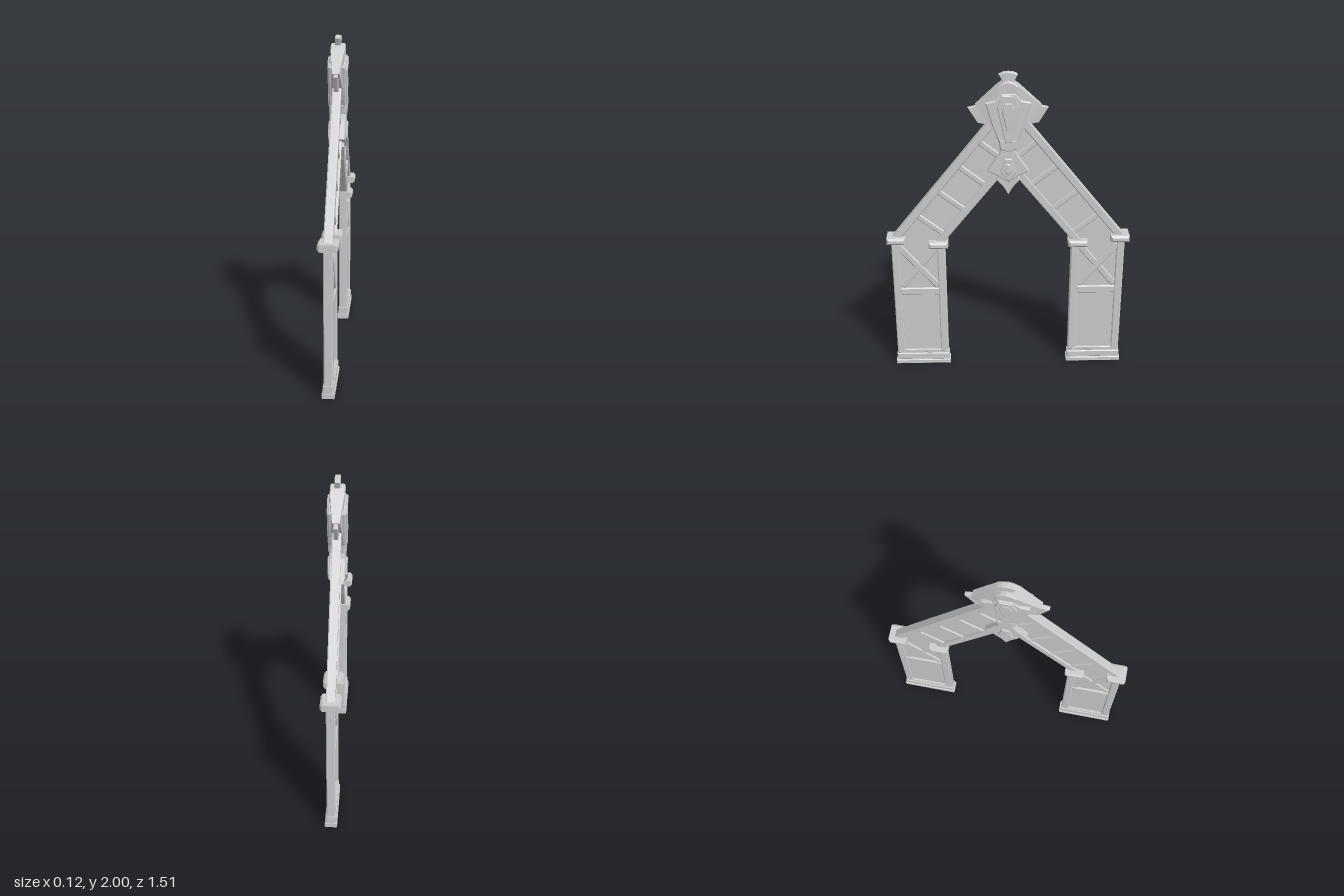
import * as THREE from 'three';

const material = new THREE.MeshStandardMaterial({ color: 0xcccccc, flatShading: true });

// Plate drawn in the (z, y) plane, extruded along x to +-half with chamfered edges
function plate(parent, name, pts, half, bevel = 0.006, holePts = null) {
  const shape = new THREE.Shape(pts.map(([z, y]) => new THREE.Vector2(z, y)));
  if (holePts) shape.holes.push(new THREE.Path(holePts.map(([z, y]) => new THREE.Vector2(z, y))));
  const depth = 2 * (half - bevel);
  const geo = new THREE.ExtrudeGeometry(shape, {
    depth, bevelEnabled: bevel > 0, bevelSize: bevel, bevelThickness: bevel,
    bevelOffset: -bevel, bevelSegments: 1,
  });
  geo.translate(0, 0, -depth / 2).rotateY(-Math.PI / 2);
  const mesh = new THREE.Mesh(geo, material);
  mesh.name = name;
  parent.add(mesh);
  return mesh;
}

const rect = (z0, z1, y0, y1) => [[z0, y0], [z1, y0], [z1, y1], [z0, y1]];
const flip = (pts, s) => pts.map(([z, y]) => [z * s, y]);
// Closes a half outline (listed top to bottom, z >= 0) with its mirror image
const sym = (pts) => [...pts, ...flip(pts, -1).reverse().filter(([z]) => z !== 0)];
const shrink = (pts, k, cy) => pts.map(([z, y]) => [z * k, cy + (y - cy) * k]);

// Bar of a given width between two points
function bar(a, b, w) {
  const dz = b[0] - a[0], dy = b[1] - a[1], l = Math.hypot(dz, dy);
  const nz = (-dy / l) * w / 2, ny = (dz / l) * w / 2;
  return [[a[0] + nz, a[1] + ny], [a[0] - nz, a[1] - ny], [b[0] - nz, b[1] - ny], [b[0] + nz, b[1] + ny]];
}

// Point on the sloping arm: t runs up the slope, d inward from its outer edge
const slope = (t, d) => [0.72 - 0.624 * t - 0.782 * d, 0.947 + 0.782 * t - 0.624 * d];
// Strip of the arm, cut level at its foot and upright at the centre line
function strip(d0, d1, footY) {
  const foot = (d) => (footY - 0.947 + 0.624 * d) / 0.782;
  const top = (d) => (0.72 - 0.782 * d) / 0.624;
  return [slope(foot(d0), d0), slope(top(d0), d0), slope(top(d1), d1), slope(foot(d1), d1)];
}

function buildSide(s) {
  const side = new THREE.Group();
  side.name = s > 0 ? 'frontSide' : 'backSide';
  const add = (name, pts, half, bevel) => plate(side, name, flip(pts, s), half, bevel);

  // Post
  add('basePlinth', rect(0.384, 0.742, 0, 0.03), 0.038, 0.004);
  add('baseBlock', rect(0.39, 0.736, 0.03, 0.077), 0.032, 0.005);
  add('baseNeck', rect(0.397, 0.729, 0.077, 0.09), 0.025, 0.002);
  add('postPanel', rect(0.41, 0.715, 0.08, 0.92), 0.013, 0);
  add('outerStile', rect(0.682, 0.732, 0.085, 0.92), 0.027);
  add('innerStile', rect(0.395, 0.446, 0.085, 0.885), 0.027);
  add('bottomRail', rect(0.44, 0.688, 0.085, 0.104), 0.026, 0.003);
  add('middleRail', rect(0.44, 0.688, 0.523, 0.575), 0.026);
  add('crossBrace', bar([0.68, 0.585], [0.44, 0.88], 0.042), 0.022);
  add('crossBrace', bar([0.69, 0.88], [0.445, 0.585], 0.042), 0.024);
  add('outerCap', rect(0.64, 0.757, 0.905, 0.948), 0.06, 0.012);
  add('innerCap', rect(0.376, 0.497, 0.873, 0.916), 0.06, 0.012);

  // Sloping arm
  add('armPanel', strip(0.01, 0.265, 0.9), 0.013, 0);
  add('outerRafter', strip(0, 0.047, 0.93), 0.027);
  add('innerRafter', strip(0.228, 0.275, 0.9), 0.027);
  for (const t of [0.21, 0.42, 0.63, 0.83]) {
    add('armRib', bar(slope(t, 0.03), slope(t, 0.245), 0.036), 0.021);
  }

  // Crest shoulder, thinning towards its tip, over a thin wing
  add('crestWing', [[0, 1.86], [0.17, 1.8], [0.237, 1.785], [0.18, 1.69], [0, 1.66]], 0.013, 0.003);
  const shoulder = add('crestShoulder', [[0.055, 1.925], [0.195, 1.8], [0.115, 1.7], [0.055, 1.58]], 0.042, 0);
  const pos = shoulder.geometry.attributes.position;
  for (let i = 0; i < pos.count; i++) {
    const k = (Math.abs(pos.getZ(i)) - 0.055) / 0.14;
    pos.setX(i, pos.getX(i) * (1 - 0.5 * k));
  }
  shoulder.geometry.computeVertexNormals();
  return side;
}

// Framed gem: raised ring with a slightly sunken stone
function gem(parent, name, outline, k, cy) {
  const inner = shrink(outline, k, cy);
  plate(parent, name + 'Frame', outline, 0.06, 0.004, inner);
  plate(parent, name, shrink(outline, k * 0.82, cy), 0.056, 0.006);
}

function buildCrest() {
  const crest = new THREE.Group();
  crest.name = 'crest';
  plate(crest, 'finial', sym([[0, 2], [0.03, 1.997], [0.055, 1.985], [0.035, 1.945], [0.04, 1.92]]), 0.017, 0.004);
  plate(crest, 'crestCore', sym([[0, 1.952], [0.03, 1.943], [0.06, 1.92], [0.06, 1.58], [0.045, 1.55]]), 0.043, 0.006);
  plate(crest, 'fan', sym([[0.04, 1.88], [0.075, 1.84], [0.135, 1.825], [0.1, 1.7], [0.06, 1.59], [0.03, 1.565]]), 0.051);
  gem(crest, 'upperGem', sym([[0.037, 1.872], [0.066, 1.8], [0.02, 1.585]]), 0.74, 1.755);
  plate(crest, 'knot', sym([[0, 1.59], [0.06, 1.605], [0.052, 1.535], [0, 1.515]]), 0.054, 0.01);
  plate(crest, 'lowerFlare', sym([[0.035, 1.56], [0.055, 1.5], [0.125, 1.395], [0.065, 1.365], [0, 1.32]]), 0.049);
  gem(crest, 'lowerGem', sym([[0.02, 1.478], [0.046, 1.39], [0, 1.335]]), 0.64, 1.405);
  plate(crest, 'pendant', sym([[0.05, 1.38], [0.072, 1.335], [0.035, 1.295], [0.014, 1.262], [0, 1.235]]), 0.04, 0.004);
  return crest;
}

export function createModel() {
  const model = new THREE.Group();
  model.name = 'pointedArchway';
  model.add(buildSide(1), buildSide(-1), buildCrest());
  return model;
}
